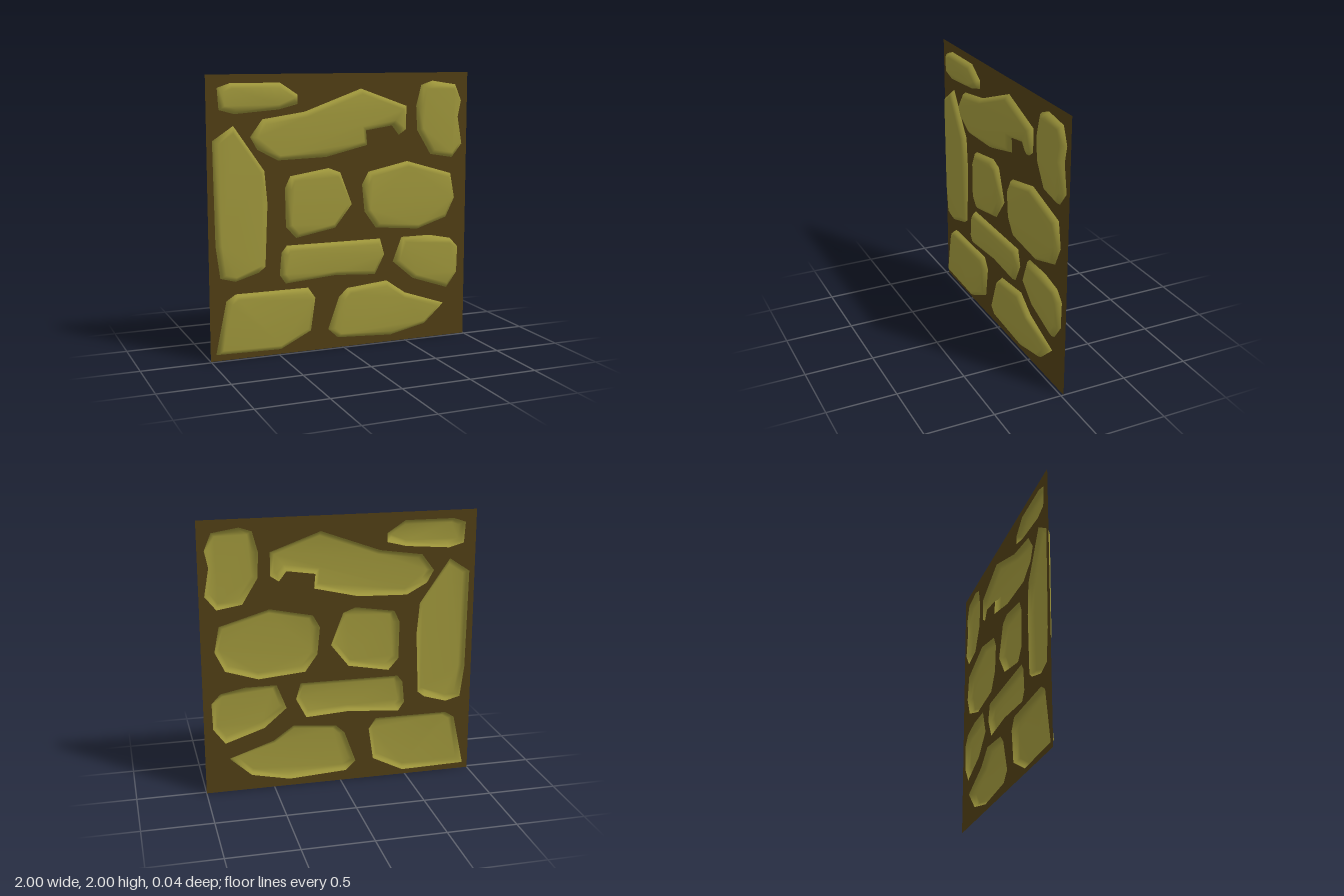
import * as THREE from 'three';

const BACK = -0.02;

// Stone outlines as flat x, y pairs
const OUTLINES = {
  topLeftStone: [-.92, 1.91, -.83, 1.94, -.47, 1.94, -.34, 1.855, -.34, 1.79, -.48, 1.755, -.8, 1.73, -.91, 1.76],
  notchedStone: [-.6, 1.69, -.29, 1.735, .14, 1.89, .5, 1.76, .5, 1.59, .44, 1.55, .385, 1.62, .18, 1.59, .19, 1.485,
    -.13, 1.41, -.49, 1.4, -.64, 1.48, -.69, 1.57],
  topRightStone: [.58, 1.76, .62, 1.91, .71, 1.94, .9, 1.91, .95, 1.79, .925, 1.67, .96, 1.47, .88, 1.37, .7, 1.4, .59, 1.58],
  tallStone: [-.96, 1.55, -.81, 1.65, -.59, 1.33, -.57, 1.1, -.59, .65, -.64, .61, -.81, .56, -.92, .59, -.95, .82],
  centreStone: [-.44, 1.2, -.4, 1.285, -.11, 1.33, -.02, 1.295, .07, 1.06, -.06, .895, -.36, .84, -.435, .925],
  largeStone: [.15, 1.2, .2, 1.29, .51, 1.355, .87, 1.25, .905, 1.065, .835, .92, .6, .845, .26, .875, .17, 1],
  longStone: [-.47, .74, -.43, .79, .295, .79, .33, .67, .255, .525, -.06, .545, -.44, .515, -.485, .58],
  rightStone: [.4, .61, .47, .79, .7, .79, .875, .755, .94, .685, .935, .49, .85, .375, .565, .47],
  bottomLeftStone: [-.96, .045, -.88, .425, -.81, .47, -.27, .47, -.215, .39, -.25, .15, -.48, .035],
  bottomRightStone: [-.115, .145, -.03, .38, .035, .44, .35, .47, .5, .365, .825, .255, .665, .11, .385, .05, -.04, .075],
};

// Inset distance and depth of each ring, from the mortar to the stone's face
const RINGS = [[0, BACK], [0.012, 0.002], [0.036, 0.018]];

function toPoints(flat) {
  const pts = [];
  for (let i = 0; i < flat.length; i += 2) pts.push(new THREE.Vector2(flat[i], flat[i + 1]));
  return THREE.ShapeUtils.isClockWise(pts) ? pts.reverse() : pts;
}

// Moves every edge of a counter-clockwise outline inwards by d
function inset(pts, d) {
  const n = pts.length;
  return pts.map((p, i) => {
    const a = p.clone().sub(pts[(i + n - 1) % n]).normalize();
    const b = pts[(i + 1) % n].clone().sub(p).normalize();
    const na = new THREE.Vector2(-a.y, a.x);
    const nb = new THREE.Vector2(-b.y, b.x);
    const k = d / Math.max(1 + na.dot(nb), 0.4);
    return p.clone().addScaledVector(na.add(nb), k);
  });
}

// Hollow stone shell: sloped wall, bevel and flat face with shared smooth normals
function stoneGeometry(pts) {
  const n = pts.length;
  const pos = [];
  const index = [];
  let ring;
  RINGS.forEach(([d, z], r) => {
    ring = inset(pts, d);
    ring.forEach((p) => pos.push(p.x, p.y, z));
    if (r === 0) return;
    for (let i = 0; i < n; i++) {
      const j = (i + 1) % n;
      const a = (r - 1) * n + i, b = (r - 1) * n + j;
      index.push(a, b, b + n, a, b + n, a + n);
    }
  });
  const base = (RINGS.length - 1) * n;
  THREE.ShapeUtils.triangulateShape(ring, []).forEach((t) => index.push(...t.map((v) => v + base)));
  const g = new THREE.BufferGeometry();
  g.setAttribute('position', new THREE.Float32BufferAttribute(pos, 3));
  g.setIndex(index);
  g.computeVertexNormals();
  return g;
}

export function createModel() {
  const group = new THREE.Group();
  group.name = 'stoneWallPanel';
  const stoneMat = new THREE.MeshStandardMaterial({ color: 0x9c943a, side: THREE.DoubleSide });
  const mortarMat = new THREE.MeshStandardMaterial({ color: 0x4f3d14, side: THREE.DoubleSide });

  // Square mortar sheet, opened behind each stone
  const sheet = new THREE.Shape([[-1, 0], [1, 0], [1, 2], [-1, 2]].map(([x, y]) => new THREE.Vector2(x, y)));

  for (const [name, flat] of Object.entries(OUTLINES)) {
    const pts = toPoints(flat);
    sheet.holes.push(new THREE.Path(pts));
    const stone = new THREE.Mesh(stoneGeometry(pts), stoneMat);
    stone.name = name;
    group.add(stone);
  }

  const mortar = new THREE.Mesh(new THREE.ShapeGeometry(sheet), mortarMat);
  mortar.name = 'mortar';
  mortar.position.z = BACK;
  group.add(mortar);
  return group;
}
